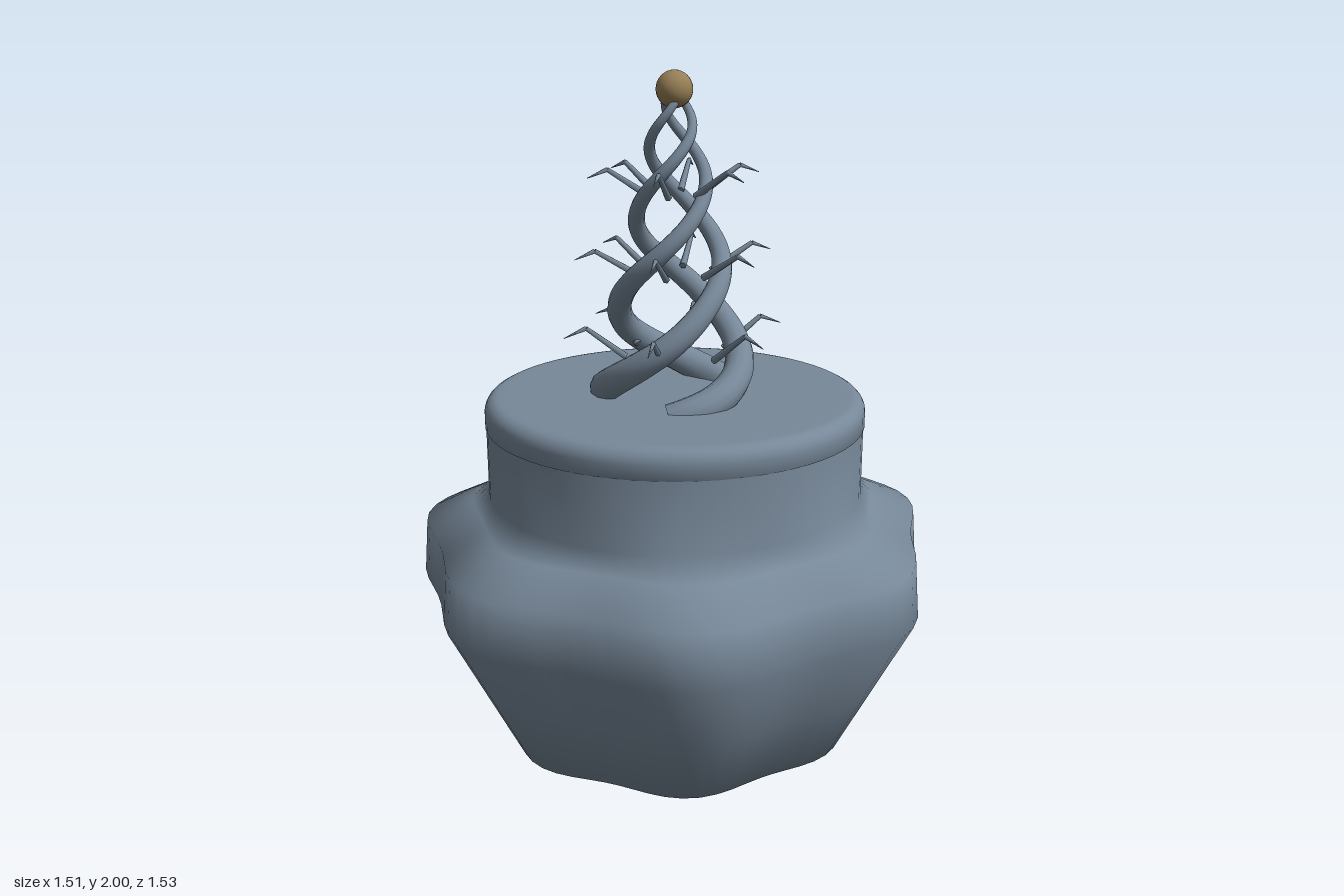
import * as THREE from 'three';
import { mergeVertices } from 'three/addons/utils/BufferGeometryUtils.js';

const LOBES = 7;

// Lathe whose rings swell into lobes; rows are [radius, y, lobe depth]
function lobedLathe(rows, segments) {
  const geo = new THREE.LatheGeometry(rows.map(([r, y]) => new THREE.Vector2(r, y)), segments);
  const pos = geo.attributes.position;
  for (let i = 0; i < pos.count; i++) {
    const depth = rows[i % rows.length][2];
    const x = pos.getX(i), z = pos.getZ(i);
    const k = 1 + depth * Math.cos(LOBES * Math.atan2(z, x));
    pos.setXYZ(i, x * k, pos.getY(i), z * k);
  }
  geo.deleteAttribute('uv');
  geo.deleteAttribute('normal');
  const welded = mergeVertices(geo, 1e-4);
  welded.computeVertexNormals();
  return welded;
}

// Tube whose radius follows radiusAt(t)
function taperedTube(curve, segments, sides, radiusAt) {
  const geo = new THREE.TubeGeometry(curve, segments, 1, sides);
  const pos = geo.attributes.position;
  const p = new THREE.Vector3();
  for (let i = 0; i <= segments; i++) {
    const t = i / segments;
    const centre = curve.getPointAt(t);
    for (let j = 0; j <= sides; j++) {
      const n = i * (sides + 1) + j;
      p.fromBufferAttribute(pos, n).sub(centre).multiplyScalar(radiusAt(t)).add(centre);
      pos.setXYZ(n, p.x, p.y, p.z);
    }
  }
  return geo;
}

// Tapered rod between two points
function rod(a, b, ra, rb, material) {
  const dir = b.clone().sub(a);
  const mesh = new THREE.Mesh(new THREE.CylinderGeometry(rb, ra, dir.length(), 6), material);
  mesh.position.copy(a).add(b).multiplyScalar(0.5);
  mesh.quaternion.setFromUnitVectors(new THREE.Vector3(0, 1, 0), dir.normalize());
  return mesh;
}

export function createModel() {
  const slate = new THREE.MeshStandardMaterial({ color: 0x778899 });
  slate.name = 'slate';
  const brass = new THREE.MeshStandardMaterial({ color: 0x967f56 });
  brass.name = 'brass';

  const model = new THREE.Group();
  model.name = 'lobedJar';
  const add = (name, geo, material) => {
    const mesh = new THREE.Mesh(geo, material);
    mesh.name = name;
    model.add(mesh);
    return mesh;
  };

  // Lobed belly that narrows to a round neck
  add('body', lobedLathe([
    [0, 0, 0], [0.53, 0.06, 0.04], [0.64, 0.285, 0.04], [0.75, 0.51, 0.04],
    [0.737, 0.67, 0.04], [0.6, 0.735, 0.03], [0.555, 0.79, 0], [0.555, 1.02, 0],
  ], 70), slate);

  // Lid with a rounded rim
  const lid = [[0.54, 0.99], [0.558, 1.0], [0.558, 1.04]];
  for (let i = 1; i <= 5; i++) {
    const a = (i / 5) * Math.PI / 2;
    lid.push([0.518 + 0.04 * Math.cos(a), 1.04 + 0.042 * Math.sin(a)]);
  }
  lid.push([0.5, 1.082], [0, 1.082]);
  add('lid', new THREE.LatheGeometry(lid.map(([r, y]) => new THREE.Vector2(r, y)), 64), slate);

  // Three twisting vines: rows are [turns, height, distance from axis]
  const path = [
    [0, 1.05, 0.205], [0.14, 1.12, 0.2], [0.305, 1.24, 0.18], [0.47, 1.39, 0.15],
    [0.64, 1.52, 0.125], [0.805, 1.64, 0.1], [0.97, 1.74, 0.082],
    [1.14, 1.83, 0.062], [1.305, 1.9, 0.036], [1.5, 1.95, 0.01],
  ];
  for (let k = 0; k < 3; k++) {
    const start = THREE.MathUtils.degToRad(110 + 120 * k);
    const points = [];
    const row = new THREE.CatmullRomCurve3(path.map((p) => new THREE.Vector3(...p)));
    for (let i = 0; i <= 45; i++) {
      const { x: turns, y, z: r } = row.getPoint(i / 45);
      const a = start - turns * Math.PI * 2;
      points.push(new THREE.Vector3(r * Math.cos(a), y, r * Math.sin(a)));
    }
    const curve = new THREE.CatmullRomCurve3(points);
    add('vine' + (k + 1), taperedTube(curve, 80, 12, (t) => 0.052 - 0.042 * t), slate);
  }

  // Three tiers of six bent thorns: [base r, base y, knee r, knee y, tip r, tip y]
  const tiers = [
    [0.15, 1.2, 0.265, 1.29, 0.33, 1.265],
    [0.11, 1.435, 0.235, 1.51, 0.293, 1.488],
    [0.08, 1.66, 0.195, 1.735, 0.253, 1.713],
  ];
  tiers.forEach(([r0, y0, r1, y1, r2, y2], t) => {
    for (let i = 0; i < 6; i++) {
      const thorn = new THREE.Group();
      thorn.name = `thorn${t + 1}_${i + 1}`;
      const base = new THREE.Vector3(r0, y0, 0);
      const knee = new THREE.Vector3(r1, y1, 0);
      const tip = new THREE.Vector3(r2, y2, 0);
      thorn.add(rod(base, knee, 0.011, 0.007, slate), rod(knee, tip, 0.007, 0.001, slate));
      thorn.rotation.y = (i * Math.PI) / 3;
      model.add(thorn);
    }
  });

  // Ball at the tip
  add('finial', new THREE.SphereGeometry(0.052, 24, 16), brass).position.y = 1.948;

  model.position.x = -0.027;
  const root = new THREE.Group();
  root.name = 'model';
  root.add(model);
  return root;
}
